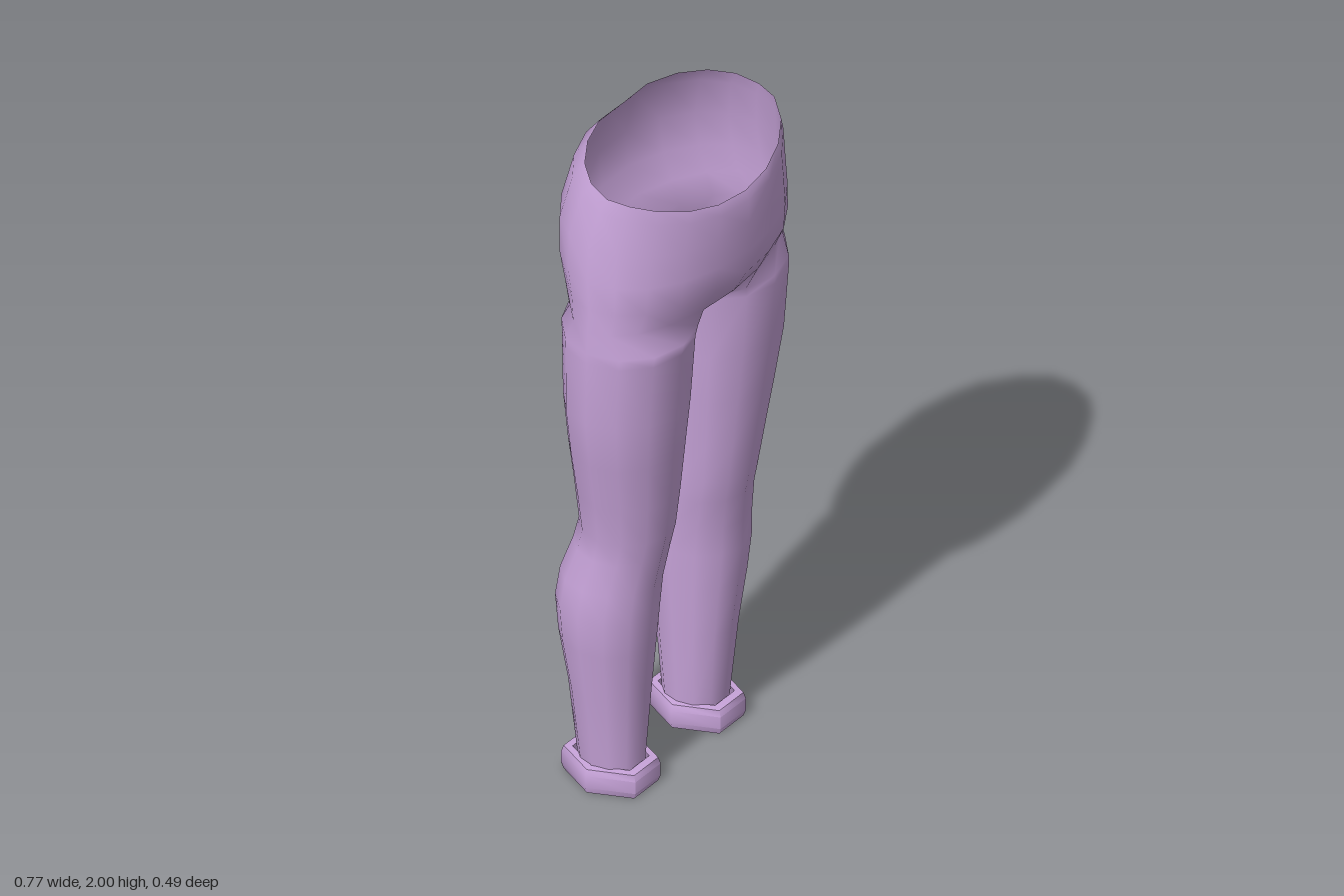
import * as THREE from 'three';
import { mergeGeometries, mergeVertices, toCreasedNormals } from 'three/addons/utils/BufferGeometryUtils.js';

const RAD = Math.PI / 180;

// Hip rows, top down: y, half width, front z, back z, waistband tilt
const HIPS = [
  [1.955, 0.33, 0.238, -0.17, 1],
  [1.91, 0.342, 0.25, -0.215, 0.75],
  [1.8, 0.364, 0.25, -0.25, 0.2],
  [1.7, 0.374, 0.25, -0.243, 0],
  [1.62, 0.38, 0.238, -0.212, 0],
  [1.55, 0.383, 0.2, -0.182, 0],
];

// Leg rows, top down: y, inner x, outer x, front z, back z
const LEGS = [
  [1.48, 0.01, 0.385, 0.185, -0.168],
  [1.45, 0.02, 0.386, 0.182, -0.163],
  [1.25, 0.023, 0.382, 0.166, -0.16],
  [1.1, 0.032, 0.357, 0.148, -0.155],
  [0.95, 0.042, 0.327, 0.13, -0.147],
  [0.83, 0.05, 0.308, 0.114, -0.14],
  [0.76, 0.056, 0.308, 0.1, -0.158],
  [0.66, 0.065, 0.322, 0.085, -0.192],
  [0.57, 0.068, 0.33, 0.079, -0.204],
  [0.46, 0.073, 0.32, 0.068, -0.197],
  [0.3, 0.083, 0.294, 0.05, -0.175],
  [0.06, 0.1, 0.266, 0.03, -0.154],
];

// Half ring of the hips: front centre, round the side, to back centre
function hipRing([y, w, zf, zb, tilt]) {
  const ring = [];
  for (let k = 0; k <= 10; k++) {
    const a = (90 - 18 * k) * RAD, s = Math.sin(a);
    const lift = s > 0 ? -0.07 * s * s : 0.045 * Math.min(1, -1.1 * s);
    const cleft = k === 10 ? 0.012 : 0;
    ring.push([w * Math.cos(a), y + tilt * lift, (zf + zb) / 2 + s * (zf - zb) / 2 + cleft]);
  }
  ring.push(ring[10]); // keeps every ring at twelve points
  return ring;
}

// Closed ring of a leg; the last point is its inner side
function legRing([y, xi, xo, zf, zb], isCrotch) {
  const ring = [];
  for (let k = 0; k < 12; k++) {
    const a = (150 - 30 * k) * RAD;
    ring.push([
      (xi + xo) / 2 + Math.cos(a) * (xo - xi) / 2, y,
      (zf + zb) / 2 + Math.sin(a) * (zf - zb) / 2,
    ]);
  }
  if (isCrotch) { // both legs meet along the seam
    ring[0] = [0, y + 0.005, 0.085];
    ring[10] = [0, y + 0.005, -0.14];
    ring[11] = [0, y, -0.03];
  }
  return ring;
}

// One side of the trousers; mirrored for side = -1
function halfTrousers(side) {
  const rings = [...HIPS.map(hipRing), ...LEGS.map((r, i) => legRing(r, i === 0))];
  const pos = [], index = [];
  for (const ring of rings) for (const [x, y, z] of ring) pos.push(Math.abs(x) < 1e-6 ? 0 : x * side, y, z);
  for (let i = 0; i < rings.length - 1; i++) {
    const columns = i < HIPS.length ? 10 : 12;
    for (let k = 0; k < columns; k++) {
      const a = i * 12 + k, b = i * 12 + (k + 1) % 12, c = a + 12, d = b + 12;
      if (side > 0) index.push(a, c, b, b, c, d);
      else index.push(a, b, c, b, d, c);
    }
  }
  const geo = new THREE.BufferGeometry();
  geo.setAttribute('position', new THREE.Float32BufferAttribute(pos, 3));
  geo.setIndex(index);
  return geo;
}

// Six-sided rolled cuff with an open middle
function cuffGeometry() {
  const profile = [
    [0.77, 0], [0.95, 0], [1, 0.018], [1, 0.055], [0.95, 0.073], [0.77, 0.075], [0.77, 0],
  ].map(([r, y]) => new THREE.Vector2(r, y));
  const geo = new THREE.LatheGeometry(profile, 6, Math.PI / 2);
  geo.scale(0.11, 1, 0.14);
  return toCreasedNormals(geo, 1.15);
}

export function createModel() {
  const model = new THREE.Group();
  model.name = 'trousers';
  const fabric = new THREE.MeshStandardMaterial({ color: 0xc8a4da, side: THREE.DoubleSide });
  fabric.name = 'lilac fabric';

  // Hips and legs, welded along the centre seam
  const body = mergeVertices(mergeGeometries([halfTrousers(1), halfTrousers(-1)]), 1e-4);
  body.computeVertexNormals();
  const bodyMesh = new THREE.Mesh(body, fabric);
  bodyMesh.name = 'hipsAndLegs';
  model.add(bodyMesh);

  // Ankle cuffs
  const cuff = cuffGeometry();
  for (const side of [1, -1]) {
    const mesh = new THREE.Mesh(cuff, fabric);
    mesh.name = side > 0 ? 'leftCuff' : 'rightCuff';
    mesh.position.set(side * 0.185, 0, -0.062);
    model.add(mesh);
  }
  return model;
}
